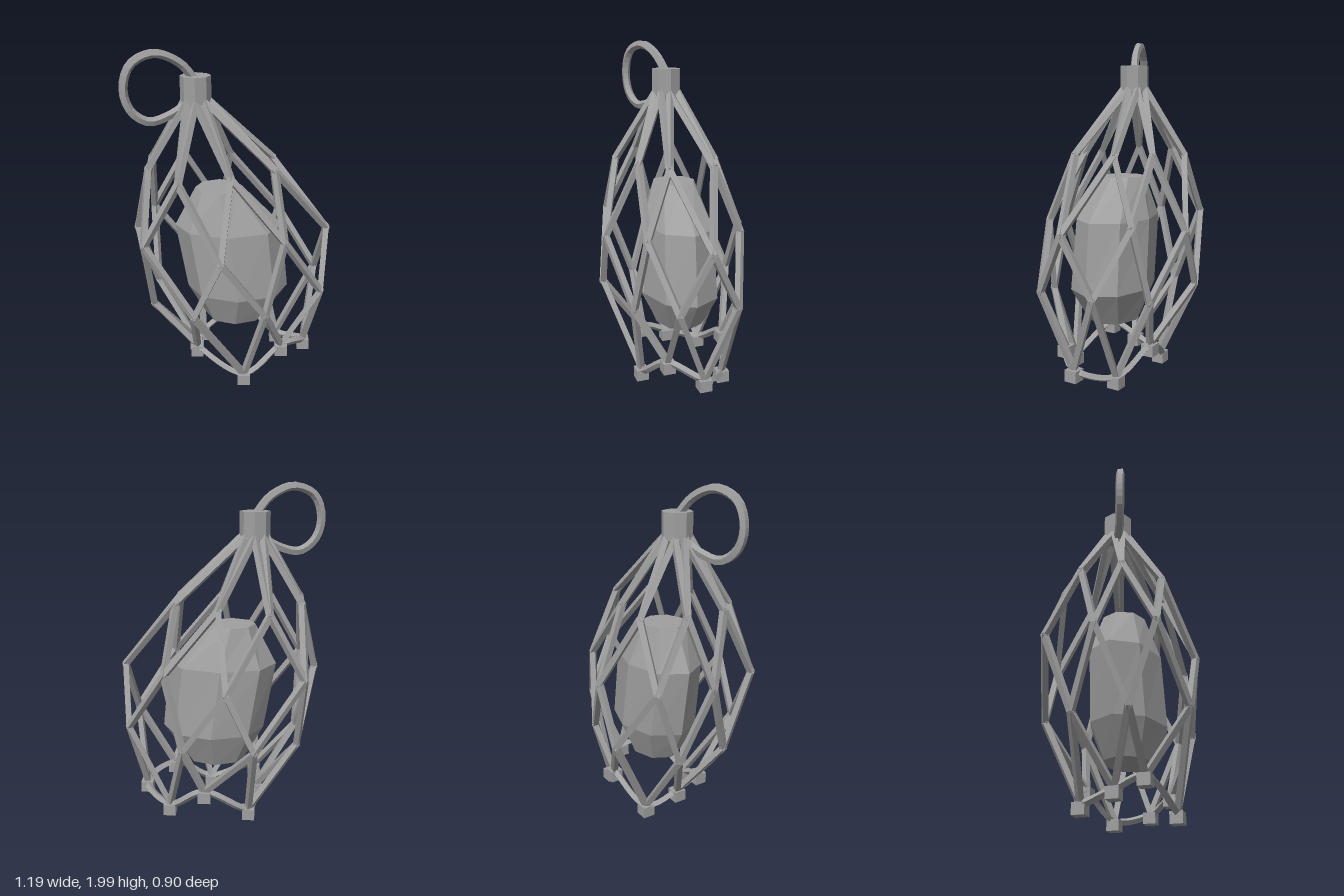
import * as THREE from 'three';

const V = (p) => new THREE.Vector3(...p);

export function createModel() {
  const model = new THREE.Group();
  model.name = 'cagedLantern';
  const grey = new THREE.MeshStandardMaterial({ color: 0xa0a0a0 });
  grey.name = 'plain grey';
  grey.flatShading = true;

  const add = (geometry, name, parent = model) => {
    const mesh = new THREE.Mesh(geometry, grey);
    mesh.name = name;
    parent.add(mesh);
    return mesh;
  };

  // square bar between two points, one flat side facing away from the core
  const bar = (a, b, parent) => {
    const size = 0.033;
    const dir = b.clone().sub(a);
    const mid = a.clone().add(b).multiplyScalar(0.5);
    const mesh = add(new THREE.BoxGeometry(size, dir.length() + 0.016, size), 'cageBar', parent);
    const y = dir.normalize();
    const out = new THREE.Vector3(mid.x, 0, mid.z);
    const x = new THREE.Vector3().crossVectors(y, out).normalize();
    const z = new THREE.Vector3().crossVectors(x, y);
    mesh.quaternion.setFromRotationMatrix(new THREE.Matrix4().makeBasis(x, y, z));
    mesh.position.copy(mid);
  };

  // mirror a half ring of points from +z to -z, in order around the cage
  const mirrorRing = (half) => [
    ...half,
    ...half.filter((p) => p[2] !== 0).reverse().map(([x, y, z]) => [x, y, -z]),
  ].map(V);

  // cage rings, from the neck down; every second ring is shifted by half a step
  const neck = [];
  for (let i = 0; i < 8; i++) {
    const a = (i * Math.PI) / 4;
    neck.push(new THREE.Vector3(-0.193 + 0.07 * Math.cos(a), 1.7, 0.07 * Math.sin(a)));
  }
  const shoulder = mirrorRing([[0.25, 1.33, 0.13], [0, 1.32, 0.235], [-0.285, 1.31, 0.295], [-0.465, 1.34, 0.12]]);
  const belly = mirrorRing([[0.575, 0.93, 0], [0.305, 0.95, 0.275], [-0.055, 0.89, 0.425], [-0.485, 0.95, 0.315], [-0.555, 0.94, 0]]);
  const hip = mirrorRing([[0.535, 0.59, 0.17], [0.2, 0.51, 0.33], [-0.21, 0.55, 0.415], [-0.46, 0.5, 0.155]]);
  const hem = [
    [0.465, 0.145, 0], [0.31, 0.205, 0.165], [0.08, 0.06, 0.26], [-0.205, 0.205, 0.165],
    [-0.22, 0.145, 0], [-0.18, 0.085, -0.2], [0.08, 0.225, -0.27], [0.3, 0.085, -0.175],
  ].map(V);

  const cage = new THREE.Group();
  cage.name = 'cage';
  model.add(cage);
  for (const [even, odd] of [[neck, shoulder], [belly, shoulder], [belly, hip], [hem, hip]]) {
    for (let i = 0; i < 8; i++) {
      bar(even[i], odd[i], cage);
      bar(even[(i + 1) % 8], odd[i], cage);
    }
  }

  // wavy hem cord with a small weight under each joint
  const hemCurve = new THREE.CatmullRomCurve3(hem, true);
  add(new THREE.TubeGeometry(hemCurve, 48, 0.022, 4, true), 'hemCord');
  for (const p of hem) {
    add(new THREE.BoxGeometry(0.075, 0.068, 0.075), 'hemWeight')
      .position.set(p.x, p.y - 0.026, p.z);
  }

  // neck collar
  add(new THREE.CylinderGeometry(0.087, 0.087, 0.15, 8), 'collar').position.set(-0.193, 1.765, 0);

  // hanging loop
  const loop = new THREE.CatmullRomCurve3([
    [-0.19, 1.81, 0], [-0.28, 1.92, 0.04], [-0.41, 1.973, 0.085], [-0.53, 1.92, 0.13],
    [-0.573, 1.79, 0.143], [-0.54, 1.67, 0.132], [-0.45, 1.605, 0.1], [-0.35, 1.625, 0.06], [-0.23, 1.69, 0.01],
  ].map(V));
  add(new THREE.TubeGeometry(loop, 28, 0.026, 5, false), 'hangingLoop');

  // faceted core: octagonal sections [y, centre x, radius x, radius z]
  const sections = [
    [0.34, 0.03, 0.18, 0.145], [0.54, 0.045, 0.307, 0.225],
    [0.95, -0.01, 0.32, 0.21], [1.19, -0.065, 0.14, 0.13],
  ];
  const pos = [];
  const index = [];
  for (const [y, cx, rx, rz] of sections) {
    for (let i = 0; i < 8; i++) {
      const a = (i * Math.PI) / 4;
      pos.push(cx + rx * Math.cos(a), y, rz * Math.sin(a));
    }
  }
  for (let s = 0; s < 3; s++) {
    for (let i = 0; i < 8; i++) {
      const a = s * 8 + i;
      const b = s * 8 + ((i + 1) % 8);
      index.push(a, a + 8, b, b, a + 8, b + 8);
    }
  }
  for (let i = 1; i < 7; i++) index.push(0, i, i + 1, 24, 24 + i + 1, 24 + i);
  const core = new THREE.BufferGeometry();
  core.setAttribute('position', new THREE.Float32BufferAttribute(pos, 3));
  core.setIndex(index);
  const flatCore = core.toNonIndexed();
  flatCore.computeVertexNormals();
  add(flatCore, 'core');

  return model;
}
